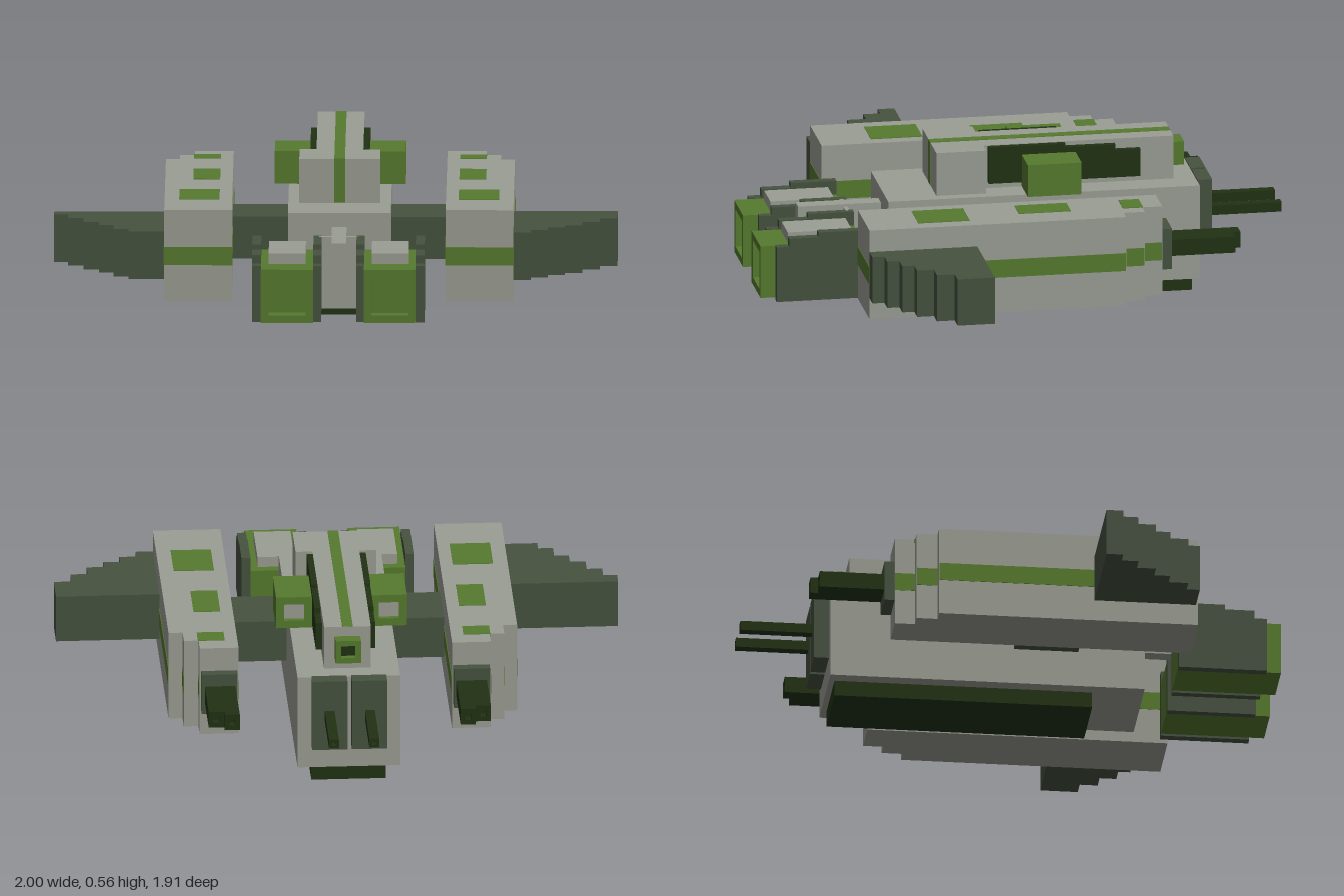
import * as THREE from 'three';

const paint = (color) => new THREE.MeshStandardMaterial({ color, flatShading: true });
const CX = 0.0125; // mirror plane of the hull

export function createModel() {
  const model = new THREE.Group();
  const grey = paint(0x9b9e94), green = paint(0x567a2e), dark = paint(0x465240), black = paint(0x223214);

  // Box from its limits; x is measured from the mirror plane
  function box(parent, name, mat, [x0, x1], [y0, y1], [z0, z1]) {
    const mesh = new THREE.Mesh(new THREE.BoxGeometry(Math.abs(x1 - x0), y1 - y0, z1 - z0), mat);
    mesh.position.set(CX + (x0 + x1) / 2, (y0 + y1) / 2, (z0 + z1) / 2);
    mesh.name = name;
    parent.add(mesh);
    return mesh;
  }

  // Square tube along z, with walls of thickness t
  function frame(parent, name, mat, [xa, xb], [y0, y1], [z0, z1], t) {
    const x0 = Math.min(xa, xb), x1 = Math.max(xa, xb);
    const rect = (path, a, b, c, d) =>
      path.moveTo(a, c).lineTo(b, c).lineTo(b, d).lineTo(a, d).closePath();
    const shape = new THREE.Shape(), hole = new THREE.Path();
    rect(shape, x0, x1, y0, y1);
    rect(hole, x0 + t, x1 - t, y0 + t, y1 - t);
    shape.holes.push(hole);
    const geo = new THREE.ExtrudeGeometry(shape, { depth: z1 - z0, bevelEnabled: false });
    const mesh = new THREE.Mesh(geo, mat);
    mesh.position.set(CX, 0, z0);
    mesh.name = name;
    parent.add(mesh);
  }

  const group = (name) => {
    const g = new THREE.Group();
    g.name = name;
    model.add(g);
    return g;
  };

  // Central hull, keel and front spine
  const hull = group('hull');
  box(hull, 'hullBody', grey, [-0.182, 0.182], [0.057, 0.403], [-0.645, 0.477]);
  box(hull, 'keel', black, [-0.132, 0.132], [0, 0.06], [-0.625, 0.295]);
  box(hull, 'frontSpine', grey, [-0.026, 0.026], [0.272, 0.352], [0.477, 0.775]);
  box(hull, 'spineCrossbar', grey, [-0.07, 0.07], [0.3, 0.343], [0.597, 0.612]);
  box(hull, 'crossStrut', dark, [-0.385, 0.385], [0.19, 0.342], [0.01, 0.24]);

  // Upper deck with its stripe and rear port
  const tower = group('tower');
  box(tower, 'towerFront', grey, [-0.143, 0.143], [0.403, 0.562], [0.118, 0.297]);
  box(tower, 'towerBody', grey, [-0.083, 0.083], [0.403, 0.562], [-0.567, 0.12]);
  box(tower, 'towerStripe', green, [-0.019, 0.019], [0.405, 0.564], [-0.566, 0.299]);
  frame(tower, 'rearPort', green, [-0.045, 0.045], [0.44, 0.526], [-0.612, -0.566], 0.02);
  box(tower, 'rearPortCore', black, [-0.026, 0.026], [0.459, 0.507], [-0.59, -0.566]);

  for (const s of [-1, 1]) {
    const side = s > 0 ? 'left' : 'right';
    const X = (a, b) => [s * a, s * b];

    // Stepped dark panel and green pod on the tower side
    const flank = group(side + 'TowerFlank');
    [[0.56, -0.175], [0.547, -0.355], [0.526, -0.445]].forEach(([top, z], i, all) =>
      box(flank, 'darkPanel', black, X(0.083, 0.105), [0.425, top], [z, i ? all[i - 1][1] : 0.102]));
    box(flank, 'sensorBox', green, X(0.104, 0.232), [0.41, 0.528], [-0.175, -0.017]);
    frame(flank, 'sensorFrame', green, X(0.104, 0.232), [0.41, 0.528], [-0.211, -0.175], 0.028);
    box(flank, 'sensorLens', grey, X(0.13, 0.206), [0.436, 0.502], [-0.192, -0.174]);

    // Side pod, narrowing in steps to the rear, with stripes and patches
    const pod = group(side + 'Pod');
    [[0.62, -0.305, 0.62], [0.57, -0.38, -0.305], [0.518, -0.452, -0.38]].forEach(([w, z0, z1], i) => {
      box(pod, 'podSection', grey, X(0.38, w), [0.112, 0.442], [z0, z1]);
      box(pod, 'podStripe', green, X(0.378, w + 0.002), [0.242, 0.308], [z0 + 0.001, i ? z1 : z1 + 0.002]);
    });
    for (const [w, z0, z1] of [[0.52, -0.383, -0.31], [0.52, -0.123, 0.065], [0.568, 0.25, 0.435]])
      box(pod, 'topPatch', green, X(0.425, w), [0.43, 0.444], [z0, z1]);

    // Twin pod guns
    box(pod, 'gunMount', dark, X(0.385, 0.513), [0.205, 0.355], [-0.488, -0.452]);
    for (const [a, b, z] of [[0.393, 0.447, -0.745], [0.447, 0.502, -0.718]]) {
      box(pod, 'gunBarrel', black, X(a, b), [0.25, 0.31], [z + 0.03, -0.488]);
      frame(pod, 'gunMuzzle', black, X(a, b), [0.25, 0.31], [z, z + 0.03], 0.017);
    }

    // Rear hull gun
    const gun = group(side + 'RearGun');
    box(gun, 'gunMount', dark, X(0.008, 0.133), [0.145, 0.408], [-0.698, -0.645]);
    box(gun, 'gunBarrel', black, X(0.054, 0.089), [0.26, 0.295], [-0.93, -0.698]);
    frame(gun, 'gunMuzzle', black, X(0.054, 0.089), [0.26, 0.295], [-0.956, -0.93], 0.01);

    // Front engine: green casing, recessed nozzle, grey lid and stepped plates
    const engine = group(side + 'Engine');
    box(engine, 'engineCasing', green, X(0.09, 0.275), [0.1, 0.292], [0.585, 0.905]);
    frame(engine, 'engineNozzle', green, X(0.09, 0.275), [0.1, 0.292], [0.905, 0.953], 0.027);
    box(engine, 'engineLid', grey, X(0.117, 0.248), [0.29, 0.33], [0.62, 0.85]);
    for (const [a, b] of [[0.062, 0.09], [0.275, 0.307]]) {
      [[0.295, 0.855, 0.9], [0.325, 0.75, 0.855], [0.343, 0.585, 0.75]].forEach(([top, z0, z1]) =>
        box(engine, 'enginePlate', dark, X(a, b), [0.092, top], [z0, z1]));
    }

    // Stepped wing: each step has an outer x and a front z
    const wing = group(side + 'Wing');
    const steps = s > 0
      ? [[0.682, 0.62], [0.742, 0.577], [0.802, 0.533], [0.863, 0.49], [0.925, 0.43], [0.9875, 0.366]]
      : [[0.747, 0.612], [0.8, 0.565], [0.852, 0.495], [0.908, 0.438], [0.963, 0.37], [1.0125, 0.31]];
    let inner = 0.62;
    for (const [outer, z] of steps) {
      box(wing, 'wingStep', dark, X(inner, outer), [0.19, 0.362], [s > 0 ? 0.232 : 0.25, z]);
      inner = outer;
    }
  }
  return model;
}
